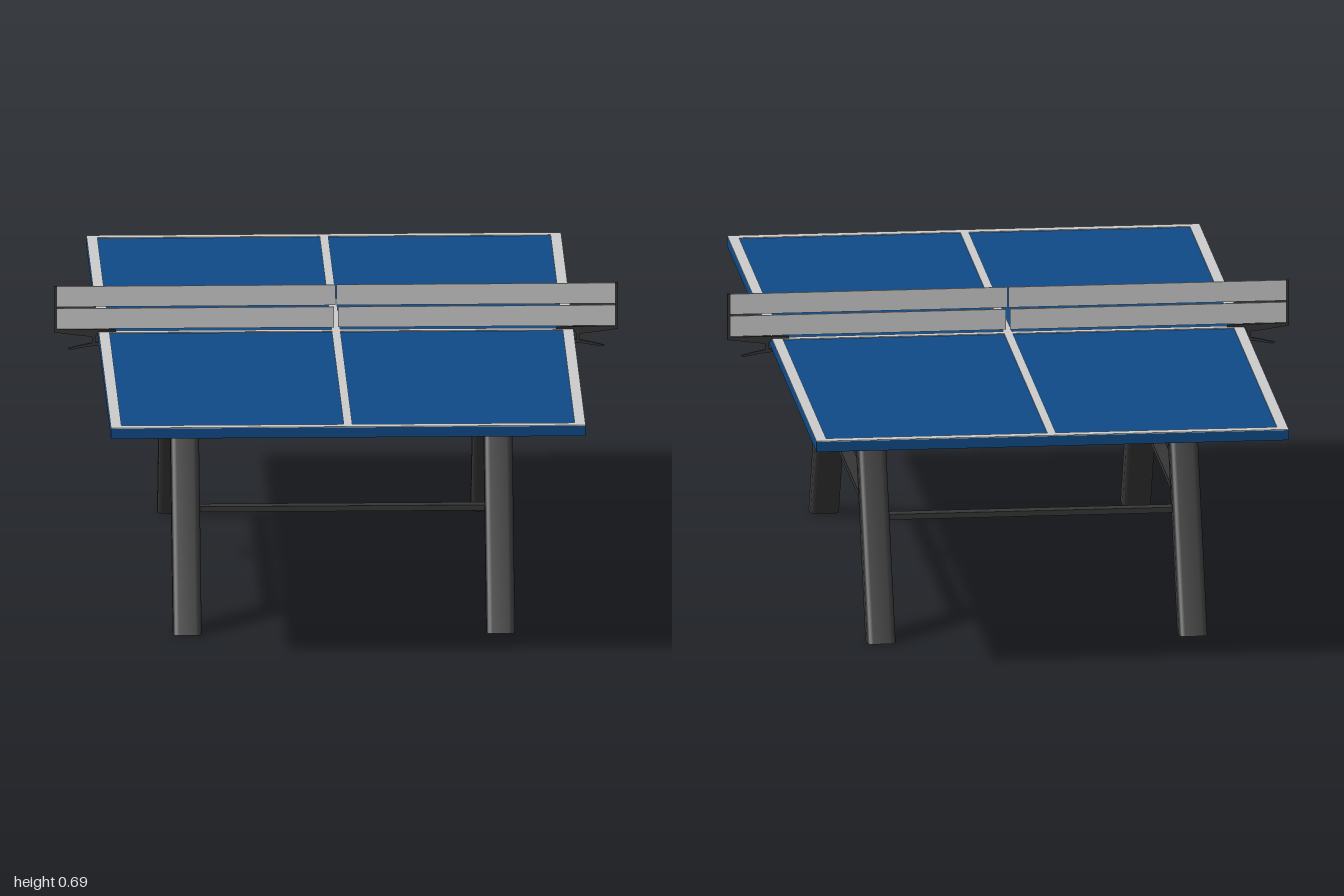
import * as THREE from 'three';
import { toCreasedNormals } from 'three/addons/utils/BufferGeometryUtils.js';

const mat = (name, color) => {
  const m = new THREE.MeshStandardMaterial({ color });
  m.name = name;
  return m;
};

export function createModel() {
  const blue = mat('tableBlue', 0x0f4a87);
  const white = mat('lineWhite', 0xcccccc);
  const dark = mat('charcoal', 0x363636);
  const model = new THREE.Group();
  model.name = 'tableTennisTable';

  const add = (name, geo, material, x = 0, y = 0, z = 0) => {
    const mesh = new THREE.Mesh(geo, material);
    mesh.name = name;
    mesh.position.set(x, y, z);
    model.add(mesh);
    return mesh;
  };
  const box = (name, material, w, h, d, x, y, z) =>
    add(name, new THREE.BoxGeometry(w, h, d), material, x, y, z);

  // Table top with painted lines
  const W = 0.555, TOP = 0.574, LINE = 0.025;
  box('tableTop', blue, 2 * W, 0.024, 2, 0, 0.562, 0);
  const line = (w, d, x, z) => box('paintedLine', white, w, 0.002, d, x, TOP + 0.001, z);
  for (const s of [-1, 1]) {
    line(LINE, 2, s * (W - LINE / 2), 0);
    line(2 * (W - LINE), LINE, 0, s * (1 - LINE / 2));
    line(0.02, 0.965, 0, s * 0.4925);
  }
  line(2 * (W - LINE), 0.02, 0, 0);

  // Leaning leg: rounded square section, sheared towards the table centre
  const LEAN = 0.51, FOOT = 0.635, H = 0.55;
  const legGeometry = (side) => {
    const a = 0.0335, r = 0.014;
    const s = new THREE.Shape();
    s.moveTo(-a + r, -a);
    s.lineTo(a - r, -a).quadraticCurveTo(a, -a, a, -a + r);
    s.lineTo(a, a - r).quadraticCurveTo(a, a, a - r, a);
    s.lineTo(-a + r, a).quadraticCurveTo(-a, a, -a, a - r);
    s.lineTo(-a, -a + r).quadraticCurveTo(-a, -a, -a + r, -a);
    const g = new THREE.ExtrudeGeometry(s, { depth: H, bevelEnabled: false, curveSegments: 5 });
    g.rotateX(-Math.PI / 2);
    const p = g.attributes.position;
    for (let i = 0; i < p.count; i++) p.setZ(i, p.getZ(i) - side * LEAN * p.getY(i));
    return toCreasedNormals(g, 0.6);
  };
  for (const sx of [-1, 1])
    for (const sz of [-1, 1]) add('leg', legGeometry(sz), dark, sx * 0.3665, 0, sz * FOOT);

  // Rails joining the legs
  const railY = 0.267, railZ = FOOT - LEAN * railY;
  for (const s of [-1, 1]) {
    box('sideRail', dark, 0.03, 0.013, 2 * railZ, s * 0.3665, railY, 0);
    box('crossRail', dark, 0.72, 0.013, 0.03, 0, railY, s * railZ);
  }

  // Net panels, separated by narrow slots
  for (const s of [-1, 1]) {
    box('upperNetPanel', white, 0.653, 0.049, 0.004, s * 0.3275, 0.661, 0);
    box('lowerNetPanel', white, 0.649, 0.049, 0.004, s * 0.3295, 0.608, 0);
    box('netPost', dark, 0.007, 0.11, 0.006, s * 0.6565, 0.631, 0);
  }

  // Net clamps: tapering bracket above, gripping arm below
  const plate = (points) => {
    const shape = new THREE.Shape(points.map(([x, y]) => new THREE.Vector2(x, y)));
    return new THREE.ExtrudeGeometry(shape, { depth: 0.007, bevelEnabled: false }).translate(0, 0, -0.0035);
  };
  const bracket = plate([[0.515, 0.576], [0.557, 0.576], [0.557, 0.571], [0.565, 0.564],
    [0.6, 0.568], [0.66, 0.576], [0.66, 0.583], [0.515, 0.581]]);
  const grip = plate([[0.562, 0.568], [0.562, 0.552], [0.545, 0.549], [0.545, 0.545],
    [0.575, 0.542], [0.622, 0.534], [0.628, 0.537], [0.6, 0.544], [0.571, 0.55], [0.571, 0.568]]);
  for (const s of [0, Math.PI]) {
    add('clampBracket', bracket, dark).rotation.y = s;
    add('clampGrip', grip, dark).rotation.y = s;
  }

  return model;
}
